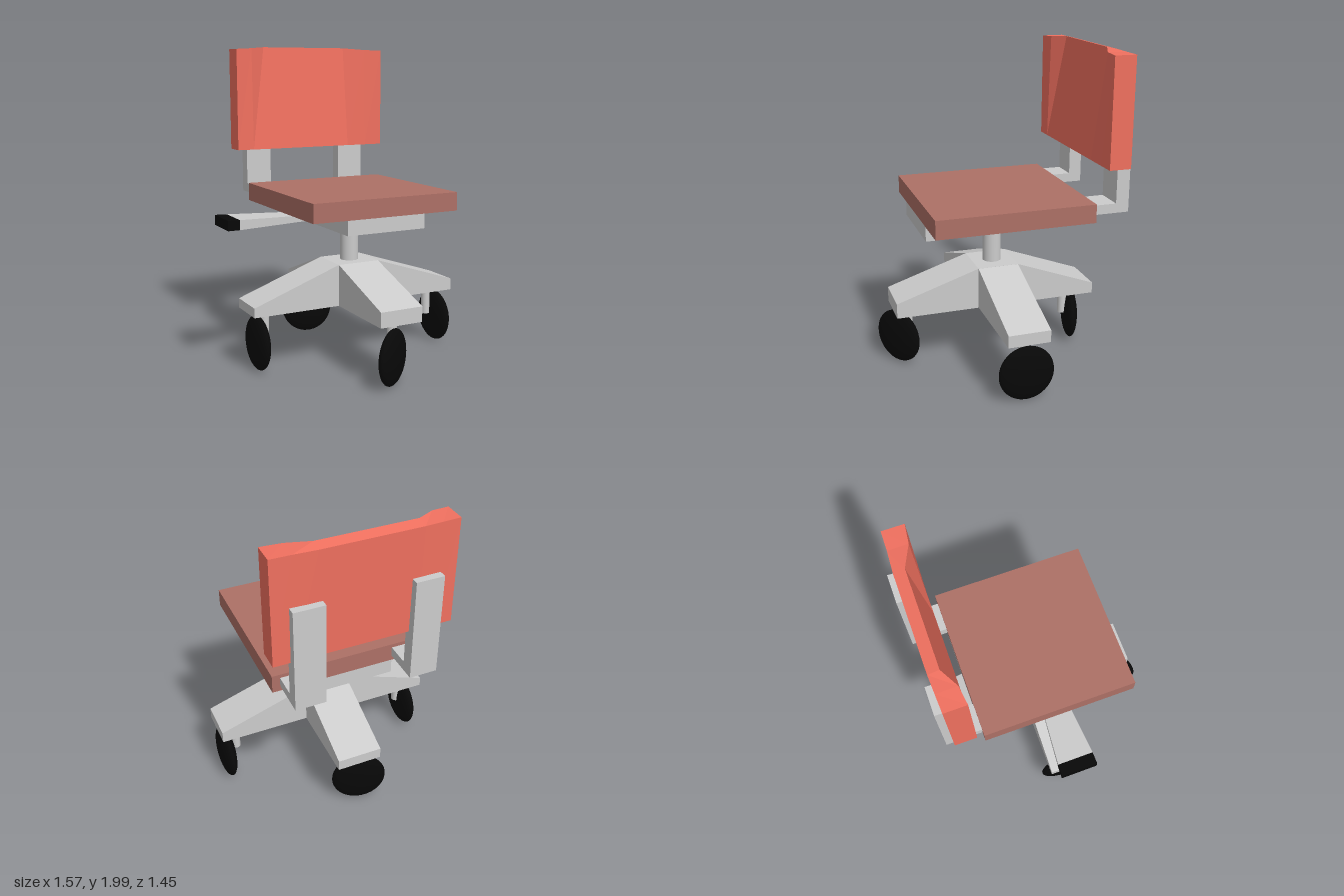
import * as THREE from 'three';

const paint = (color) => new THREE.MeshStandardMaterial({ color, flatShading: true });

export function createModel() {
  const model = new THREE.Group();
  const grey = paint(0xcccccc);
  const black = paint(0x080808);
  const rubber = new THREE.MeshStandardMaterial({ color: 0x080808 });
  const steel = new THREE.MeshStandardMaterial({ color: 0xcccccc });

  const add = (name, geometry, material) => {
    const mesh = new THREE.Mesh(geometry, material);
    mesh.name = name;
    model.add(mesh);
    return mesh;
  };

  // Box given by its lower and upper bounds on each axis
  const block = (name, [x0, x1], [y0, y1], [z0, z1], material) =>
    add(name, new THREE.BoxGeometry(x1 - x0, y1 - y0, z1 - z0)
      .translate((x0 + x1) / 2, (y0 + y1) / 2, (z0 + z1) / 2), material);

  // Block along x whose end sections are { x, y: [low, high], z: [back, front] }
  const taper = (name, a, b, material) => {
    const geometry = new THREE.BoxGeometry(1, 1, 1);
    const p = geometry.attributes.position;
    for (let i = 0; i < p.count; i++) {
      const end = p.getX(i) < 0 ? a : b;
      p.setXYZ(i, end.x, end.y[p.getY(i) < 0 ? 0 : 1], end.z[p.getZ(i) < 0 ? 0 : 1]);
    }
    geometry.computeVertexNormals();
    return add(name, geometry, material);
  };

  // Side profile pushed out to a given width, centred on its own plane
  const slab = (points, width) =>
    new THREE.ExtrudeGeometry(new THREE.Shape(points.map(([x, y]) => new THREE.Vector2(x, y))),
      { depth: width, bevelEnabled: false }).translate(0, 0, -width / 2);

  // Seat, plate and column
  block('seat', [-0.424, 0.557], [0.995, 1.11], [-0.493, 0.488], paint(0xad7066));
  block('seatPlate', [-0.205, 0.32], [0.905, 0.995], [-0.493, 0.488], grey);
  add('column', new THREE.CylinderGeometry(0.058, 0.058, 0.28, 32).translate(0.067, 0.77, 0), steel);

  // Crossed base: four arms sloping down from the hub
  add('sideArms', slab([[-0.645, 0.38], [0.78, 0.38], [0.78, 0.455], [0.205, 0.645],
    [-0.075, 0.645], [-0.645, 0.44]], 0.26), grey);
  add('frontBackArms', slab([[-0.65, 0.38], [0.652, 0.38], [0.652, 0.475], [0.13, 0.645],
    [-0.13, 0.645], [-0.65, 0.45]], 0.282).rotateY(-Math.PI / 2).translate(0.066, 0, 0), grey);

  // Casters: flattened ball wheels, each swivelled on its own stem
  const casters = [
    { name: 'left', wheel: [0.733, 0], stem: [0.663, 0], turn: Math.PI / 2 },
    { name: 'right', wheel: [-0.574, 0], stem: [-0.53, 0], turn: Math.PI / 2 },
    { name: 'front', wheel: [0.03, 0.613], stem: [0.058, 0.555], turn: 0.62 },
    { name: 'back', wheel: [0.03, -0.568], stem: [0.058, -0.5], turn: -0.255 },
  ];
  for (const { name, wheel, stem, turn } of casters) {
    const ball = new THREE.SphereGeometry(1, 32, 20).scale(0.172, 0.172, 0.05);
    add(name + 'Wheel', ball.rotateY(turn).translate(wheel[0], 0.178, wheel[1]), rubber);
    add(name + 'Stem', new THREE.CylinderGeometry(0.029, 0.029, 0.19, 20)
      .translate(stem[0], 0.295, stem[1]), steel);
  }

  // Height lever with a dark tip
  const root = { x: -0.2, y: [0.932, 0.965], z: [-0.08, 0.057] };
  const neck = { x: -0.715, y: [0.92, 0.98], z: [-0.125, 0.1] };
  const tip = { x: -0.79, y: [0.92, 0.982], z: [-0.128, 0.101] };
  taper('lever', neck, root, grey);
  taper('leverTip', tip, neck, black);

  // L-shaped brackets carrying the backrest
  for (const [name, x0, x1] of [['right', -0.376, -0.203], ['left', 0.322, 0.508]]) {
    const profile = [[-0.485, 1.028], [-0.485, 1.087], [-0.642, 1.087], [-0.642, 1.675],
      [-0.725, 1.675], [-0.725, 1.028]];
    add(name + 'Bracket', slab(profile, x1 - x0).rotateY(-Math.PI / 2)
      .translate((x0 + x1) / 2, 0, 0), grey);
  }

  // Backrest: straight lower edge, upper edge hollowed back between the wings
  const columns = [
    { x: -0.475, y: 1.985, front: -0.54, back: -0.675 },
    { x: -0.365, y: 1.991, front: -0.555, back: -0.68 },
    { x: -0.255, y: 2.0, front: -0.617, back: -0.685 },
    { x: 0.345, y: 2.0, front: -0.617, back: -0.685 },
    { x: 0.485, y: 1.988, front: -0.555, back: -0.677 },
    { x: 0.61, y: 1.985, front: -0.54, back: -0.675 },
  ];
  const rest = new THREE.BoxGeometry(5, 1, 1, 5, 1, 1);
  const p = rest.attributes.position;
  for (let i = 0; i < p.count; i++) {
    const c = columns[Math.round(p.getX(i) + 2.5)];
    const top = p.getY(i) > 0, front = p.getZ(i) > 0;
    p.setXYZ(i, c.x, top ? (front ? c.y : 1.985) : 1.325,
      top ? (front ? c.front : c.back) : (front ? -0.54 : -0.675));
  }
  rest.computeVertexNormals();
  add('backrest', rest, paint(0xf0705f));

  return model;
}
